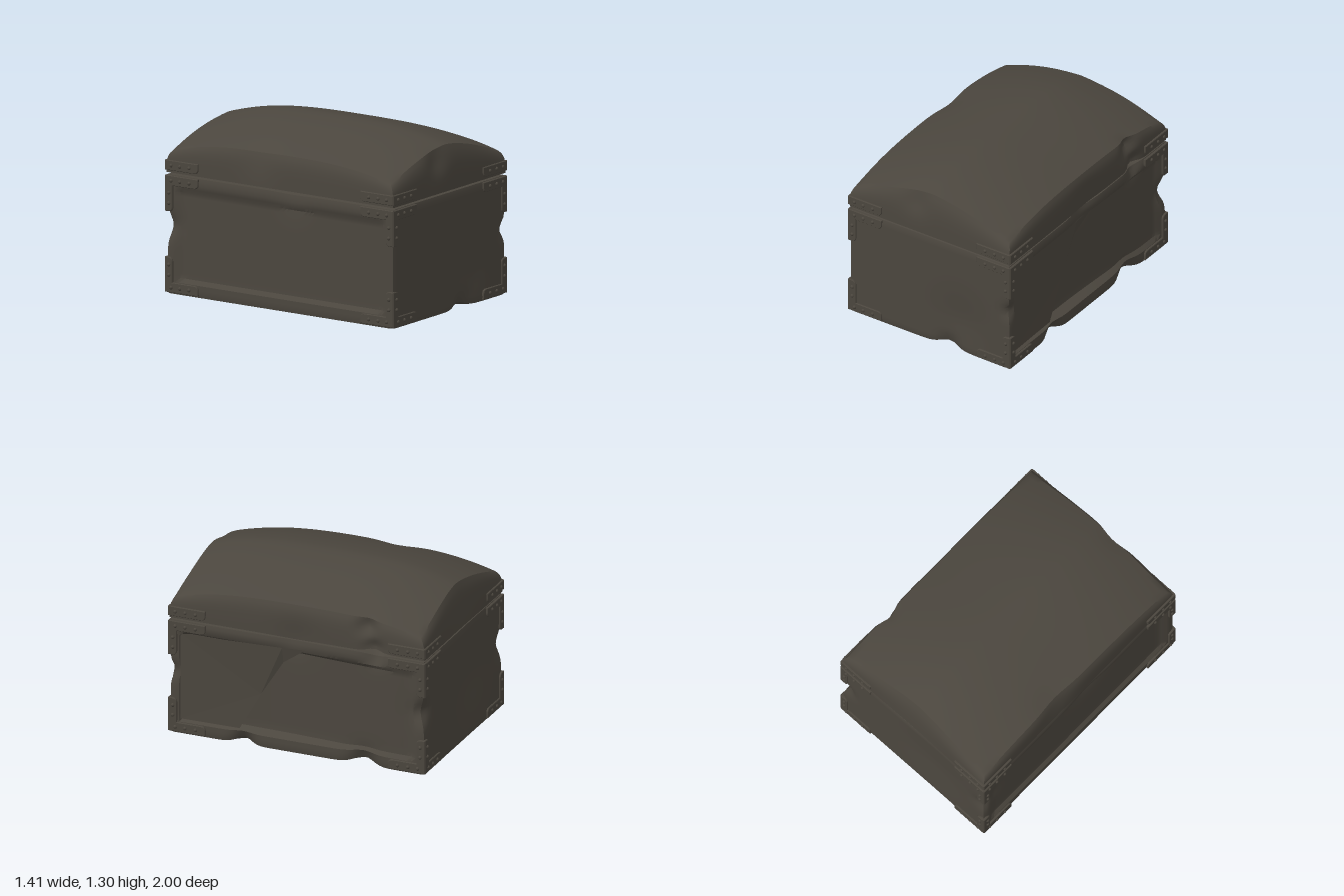
import * as THREE from 'three';
import { toCreasedNormals } from 'three/addons/utils/BufferGeometryUtils.js';

const W = 0.68, D = 0.98, BODY_TOP = 0.872, LID_BASE = 0.882;

// Soft dents: [centre x, y, z, radius, push x, y, z]
const bodyDents = [
  [0.15, 0, 0.98, 0.09, 0, 0.035, -0.03],
  [0.25, 0.25, 0.98, 0.2, 0, 0, -0.02],
  [0.69, 0.48, 0.97, 0.06, -0.03, 0, -0.03],
  [0.69, 0.47, -0.97, 0.09, -0.04, 0, 0.045],
  [-0.69, 0.5, -0.97, 0.09, 0.03, 0, 0.03],
  [0.68, 0, 0.42, 0.08, -0.05, 0.03, 0],
  [0.68, 0, -0.5, 0.1, -0.05, 0.04, 0],
  [0.68, 0.86, -0.6, 0.08, -0.05, -0.03, 0],
  [0.68, 0.86, 0.05, 0.12, -0.03, -0.01, 0],
  [-0.68, 0.86, 0.1, 0.15, 0.02, -0.01, 0],
  [-0.2, 0.5, -0.98, 0.3, 0, 0, 0.02],
];
const lidDents = [
  [0.68, 1.06, -0.53, 0.07, -0.06, 0, 0],
  [0.68, 0.9, -0.58, 0.07, -0.045, 0.01, 0],
  [0.68, 0.88, 0.0, 0.15, -0.02, -0.012, 0],
  [-0.13, 1.12, 0.97, 0.1, 0, -0.01, -0.025],
  [0, 1.2, -0.98, 0.3, 0, -0.01, 0.02],
  [-0.68, 1.1, -0.2, 0.15, 0.02, -0.01, 0],
];

function dent(v, dents) {
  const p = v.clone();
  for (const [x, y, z, r, a, b, c] of dents) {
    const d = ((p.x - x) ** 2 + (p.y - y) ** 2 + (p.z - z) ** 2) / (r * r);
    const k = Math.exp(-d);
    v.x += a * k; v.y += b * k; v.z += c * k;
  }
}

function reshape(geometry, rule) {
  const pos = geometry.attributes.position, v = new THREE.Vector3();
  for (let i = 0; i < pos.count; i++) {
    rule(v.fromBufferAttribute(pos, i));
    pos.setXYZ(i, v.x, v.y, v.z);
  }
  return toCreasedNormals(geometry, 0.6);
}

// Pull the edges of a box in to a small radius
function roundEdges(v, hx, hy, hz, r) {
  const core = new THREE.Vector3(
    THREE.MathUtils.clamp(v.x, -hx + r, hx - r),
    THREE.MathUtils.clamp(v.y, -hy + r, hy - r),
    THREE.MathUtils.clamp(v.z, -hz + r, hz - r));
  const out = v.clone().sub(core);
  if (out.lengthSq() > 0) v.copy(core).add(out.setLength(r));
}

function bodyGeometry() {
  const h = BODY_TOP / 2, s = THREE.MathUtils.smoothstep;
  return reshape(new THREE.BoxGeometry(2 * W, 2 * h, 2 * D, 30, 28, 56), v => {
    const side = Math.abs(v.x) > W - 1e-4 ? Math.sign(v.x) : 0;
    roundEdges(v, W, h, D, 0.022);
    v.y += h;
    if (side) { // sunken side panels, deepest beside the split on the left side
      const inset = s(v.y, 0.09, 0.13) * (1 - s(v.y, 0.75, 0.79))
        * (1 - s(Math.abs(v.z), 0.86, 0.92));
      const depth = side > 0 ? 0.025 + 0.045 * s(v.z, -0.85, 0.3) : 0.025;
      v.x -= side * inset * depth;
    }
    dent(v, bodyDents);
  });
}

function lidGeometry() {
  return reshape(new THREE.BoxGeometry(2 * W, 1, 2 * D, 30, 10, 50), v => {
    const t = v.y + 0.5;
    const crown = 1.3 - 0.17 * Math.abs(v.x / W) ** 1.5 - 0.09 * Math.abs(v.z / D) ** 3;
    v.x *= 1 - 0.04 * t ** 5;
    v.z *= 1 - 0.04 * t ** 4;
    v.y = LID_BASE + t * (crown - LID_BASE);
    dent(v, lidDents);
  });
}

// Loose board left of the split, made of facets given as [z, y, x]
function brokenBoard() {
  const tip = [0.29, 0.4, 0.652];
  const rim = [[0.12, 0.67, 0.645], [0.12, 0.79, 0.672], [0.9, 0.765, 0.668],
    [0.9, 0.115, 0.668], [0.45, 0.115, 0.662]];
  const pts = [];
  for (let i = 0; i < rim.length - 1; i++)
    for (const [z, y, x] of [tip, rim[i + 1], rim[i]]) pts.push(x, y, z);
  // small flap across the top of the split
  for (const [z, y, x] of [[0.12, 0.67, 0.645], [0.12, 0.79, 0.672], [-0.06, 0.8, 0.67]])
    pts.push(x, y, z);
  const g = new THREE.BufferGeometry();
  g.setAttribute('position', new THREE.Float32BufferAttribute(pts, 3));
  g.computeVertexNormals();
  return g;
}

// Flat L-shaped plate: corner at the origin, arms along -x and +y
function plateGeometry(arm, rise, wide = 0.065, tall = 0.072) {
  const s = new THREE.Shape(), r = 0.035;
  s.moveTo(0, 0);
  s.lineTo(0, rise);
  s.lineTo(-wide + r * (rise > tall ? 1 : 0), rise);
  if (rise > tall) {
    s.quadraticCurveTo(-wide, rise, -wide, rise - r);
    s.lineTo(-wide, tall);
  }
  s.lineTo(-arm + r, tall);
  s.quadraticCurveTo(-arm, tall, -arm, tall - r);
  s.lineTo(-arm, 0);
  s.closePath();
  return new THREE.ExtrudeGeometry(s, {
    depth: 0.012, bevelEnabled: true, bevelThickness: 0.004,
    bevelSize: 0.004, bevelOffset: -0.004, bevelSegments: 1, curveSegments: 5,
  });
}

export function createModel() {
  const chest = new THREE.Group();
  chest.name = 'chest';
  const leather = new THREE.MeshStandardMaterial({ color: 0x4b463e });
  leather.name = 'dark brown';
  const board = new THREE.MeshStandardMaterial({ color: 0x4b463e, side: THREE.DoubleSide });
  board.name = 'dark brown board';

  const add = (parent, geometry, name, material = leather) => {
    const m = new THREE.Mesh(geometry, material);
    m.name = name;
    parent.add(m);
    return m;
  };

  add(chest, bodyGeometry(), 'body');
  add(chest, lidGeometry(), 'lid');
  add(chest, brokenBoard(), 'brokenBoard', board);

  // Riveted corner plates: y of the corner, arm direction, height of upright
  const kinds = [
    { name: 'lowerCorner', y: 0.018, up: 1, rise: 0.255 },
    { name: 'upperCorner', y: 0.862, up: -1, rise: 0.26 },
    { name: 'lidCorner', y: 0.972, up: -1, rise: 0.072 },
  ];
  const rivet = new THREE.SphereGeometry(0.014, 8, 6);

  for (const { name, y, up, rise } of kinds) {
    const plate = plateGeometry(0.285, rise);
    for (const sx of [-1, 1]) for (const sz of [-1, 1]) {
      const corner = new THREE.Group();
      corner.name = name;
      for (const onEnd of [true, false]) {
        // Face axes: u points outward along the face, n away from it
        const u = onEnd ? new THREE.Vector3(sx, 0, 0) : new THREE.Vector3(0, 0, sz);
        const n = onEnd ? new THREE.Vector3(0, 0, sz) : new THREE.Vector3(sx, 0, 0);
        const frame = new THREE.Matrix4().makeBasis(u, new THREE.Vector3(0, up, 0), n);
        frame.setPosition(sx * (onEnd ? 0.689 : 0.677), y, sz * (onEnd ? 0.974 : 0.987));
        const g = plate.clone().applyMatrix4(frame);
        if (frame.determinant() < 0) { // keep mirrored faces outward
          const p = g.attributes.position.array, q = g.attributes.normal.array;
          for (const a of [p, q]) for (let i = 0; i < a.length; i += 9)
            for (let k = 0; k < 3; k++)
              [a[i + k], a[i + 3 + k]] = [a[i + 3 + k], a[i + k]];
        }
        add(corner, g, 'plate');
        const spots = [[-0.055, 0.036], [-0.13, 0.036], [-0.21, 0.036]];
        if (rise > 0.1) spots.push([-0.036, 0.125], [-0.036, 0.2]);
        for (const [a, b] of spots)
          add(corner, rivet, 'rivet').position.set(a, b, 0.014).applyMatrix4(frame);
      }
      chest.add(corner);
    }
  }
  return chest;
}
